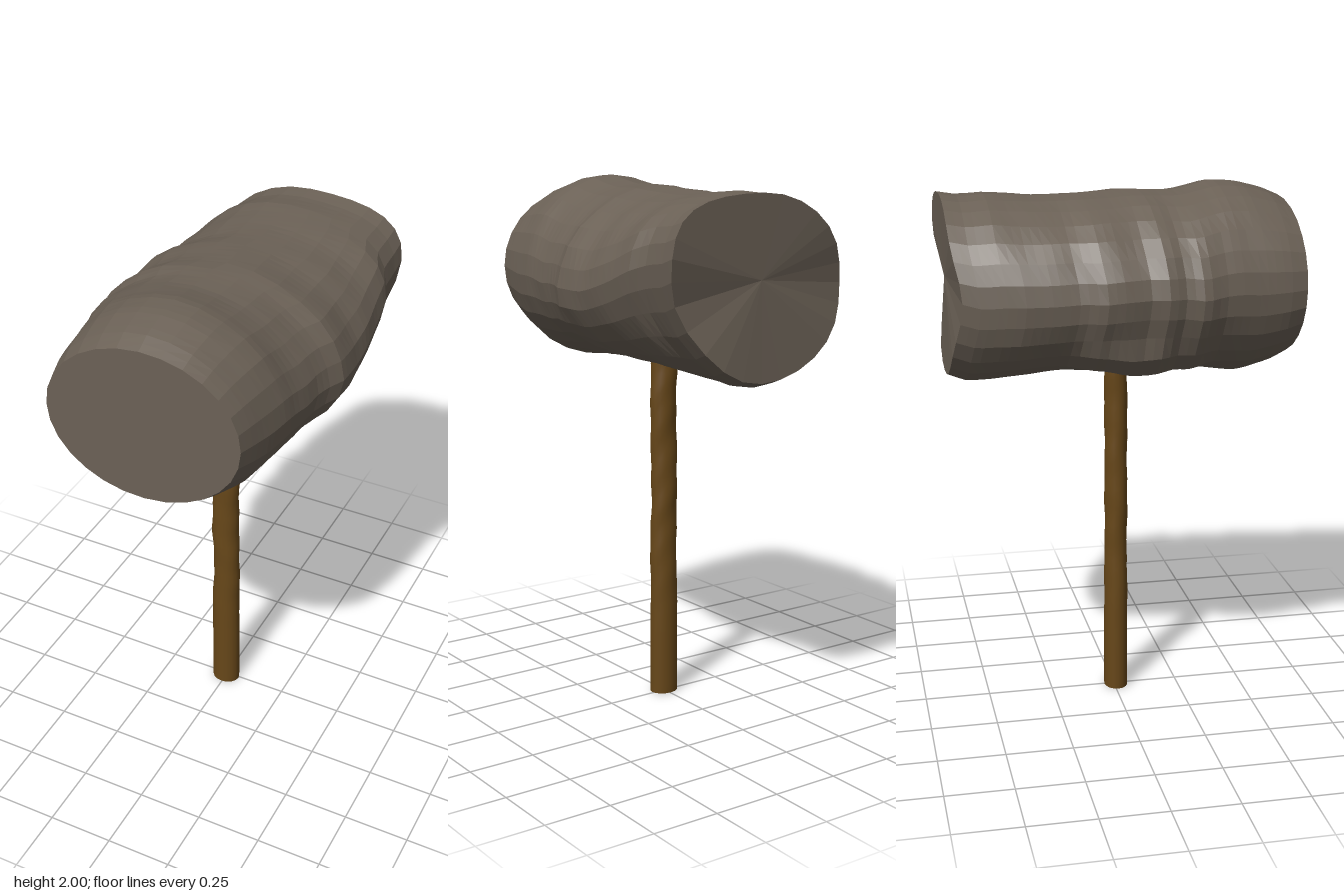
import * as THREE from 'three';
import { mergeVertices } from 'three/addons/utils/BufferGeometryUtils.js';

const stone = new THREE.MeshStandardMaterial({ color: 0x6b6156 });
stone.name = 'weathered stone';
stone.flatShading = true;
const wood = new THREE.MeshStandardMaterial({ color: 0x674719 });
wood.name = 'brown wood';

// Outline stations of the head along z: [z, minX, maxX, bottom, top]
const stations = [
  [0.62, -0.365, 0.345, 1.355, 1.94], [0.55, -0.385, 0.36, 1.32, 1.97], [0.45, -0.40, 0.38, 1.29, 1.995],
  [0.36, -0.415, 0.395, 1.30, 2.0], [0.30, -0.425, 0.40, 1.31, 1.985], [0.23, -0.458, 0.41, 1.31, 1.97],
  [0.16, -0.44, 0.415, 1.325, 1.97], [0.10, -0.46, 0.43, 1.325, 1.972], [0.03, -0.44, 0.46, 1.325, 1.97],
  [-0.06, -0.45, 0.46, 1.325, 1.965], [-0.13, -0.452, 0.457, 1.32, 1.96], [-0.20, -0.415, 0.455, 1.32, 1.957],
  [-0.30, -0.41, 0.447, 1.31, 1.955], [-0.40, -0.40, 0.44, 1.30, 1.962], [-0.46, -0.385, 0.412, 1.295, 1.967],
  [-0.55, -0.36, 0.41, 1.29, 1.957], [-0.62, -0.34, 0.412, 1.315, 1.965],
];

const bump = (v, centre, width) => Math.exp(-(((v - centre) / width) ** 2));

function outline(z) {
  let i = 0;
  while (i < stations.length - 2 && stations[i + 1][0] > z) i++;
  const [a, b] = [stations[i], stations[i + 1]];
  const t = THREE.MathUtils.clamp((a[0] - z) / (a[0] - b[0]), 0, 1);
  return a.map((v, k) => v + (b[k] - v) * t);
}

// Joins equal rings of points into a tube closed by a fan at each end
function loft(rings) {
  const n = rings[0].length, pos = [], idx = [];
  rings.forEach(r => r.forEach(p => pos.push(p.x, p.y, p.z)));
  for (let i = 0; i < rings.length - 1; i++) {
    for (let j = 0; j < n; j++) {
      const a = i * n + j, b = i * n + (j + 1) % n;
      idx.push(a, a + n, b, b, a + n, b + n);
    }
  }
  for (const end of [0, rings.length - 1]) {
    const c = pos.length / 3, mid = new THREE.Vector3();
    rings[end].forEach(p => mid.addScaledVector(p, 1 / n));
    pos.push(mid.x, mid.y, mid.z);
    for (let j = 0; j < n; j++) {
      const a = end * n + j, b = end * n + (j + 1) % n;
      if (end === 0) idx.push(c, a, b); else idx.push(c, b, a);
    }
  }
  const g = new THREE.BufferGeometry();
  g.setAttribute('position', new THREE.Float32BufferAttribute(pos, 3));
  g.setIndex(idx);
  g.computeVertexNormals();
  return g;
}

// Roughly hewn, uneven barrel lying along z
function makeHead() {
  const rings = [], count = 40, sides = 28;
  for (let i = 0; i <= count; i++) {
    const t = i / count, ring = [];
    const [, x0, x1, y0, y1] = outline(0.62 - 1.24 * t);
    const back = THREE.MathUtils.smoothstep(t, 0.55, 0.95);
    for (let j = 0; j < sides; j++) {
      // angle from -90 to 270 degrees
      const a = (j / sides - 0.25) * Math.PI * 2, c = Math.cos(a), s = Math.sin(a);
      const zFront = 0.615 - 0.016 * c;
      const zBack = -0.63 + 0.045 * bump(a, -0.5, 0.35) + 0.036 * bump(a, Math.PI, 0.45);
      const z = zFront + (zBack - zFront) * t;
      // shallow hammered dents, fading at both ends and at the four extremes
      const fade = Math.sin(Math.PI * t) * Math.abs(Math.sin(2 * a));
      const dent = 0.016 * fade * (1 + Math.sin(z * 23 + a * 3) * Math.cos(a * 5 - z * 9));
      // ridge along the lower edge of the model's right side
      const ridge = 0.2 * bump(a, 3.98, 0.25) * bump(z, 0.04, 0.18);
      const k = 1 - dent + ridge;
      // the model's left side sags in the middle and lifts towards the back
      const lift = c > 0 ? c * c * (0.12 * back - 0.03 * Math.sin(Math.PI * t)) : 0;
      ring.push(new THREE.Vector3(
        (x0 + x1) / 2 + (x1 - x0) / 2 * c * k,
        (y0 + y1) / 2 + (y1 - y0) / 2 * s * k + lift, z));
    }
    rings.push(ring);
  }
  return loft(rings);
}

// Slightly crooked stick, rougher towards the top
function makeHandle() {
  const height = 1.45;
  const g = new THREE.CylinderGeometry(1, 1, height, 16, 40, true);
  const p = g.attributes.position;
  for (let i = 0; i < p.count; i++) {
    const y = p.getY(i) + height / 2, x = p.getX(i), z = p.getZ(i);
    const rough = THREE.MathUtils.smoothstep(y, 0.2, 0.7);
    const r = 1 - 0.06 * rough * (1 + Math.sin(y * 29 + x * 2) * Math.cos(y * 11 + z * 2));
    p.setXYZ(i, -0.002 + 0.003 * rough * Math.sin(y * 13) + 0.056 * x * r, y, 0.008 + 0.046 * z * r);
  }
  g.deleteAttribute('uv');
  g.deleteAttribute('normal');
  const merged = mergeVertices(g, 1e-5);
  merged.computeVertexNormals();
  return merged;
}

export function createModel() {
  const model = new THREE.Group();
  model.name = 'mallet';
  const add = (name, geometry, material) => {
    const mesh = new THREE.Mesh(geometry, material);
    mesh.name = name;
    model.add(mesh);
    return mesh;
  };
  add('head', makeHead(), stone);
  add('handle', makeHandle(), wood);
  // flat butt of the handle
  const butt = add('handleEnd', new THREE.CircleGeometry(1, 16), wood);
  butt.rotation.x = Math.PI / 2;
  butt.scale.set(0.056, 0.046, 1);
  butt.position.set(-0.002, 0, 0.008);
  return model;
}
